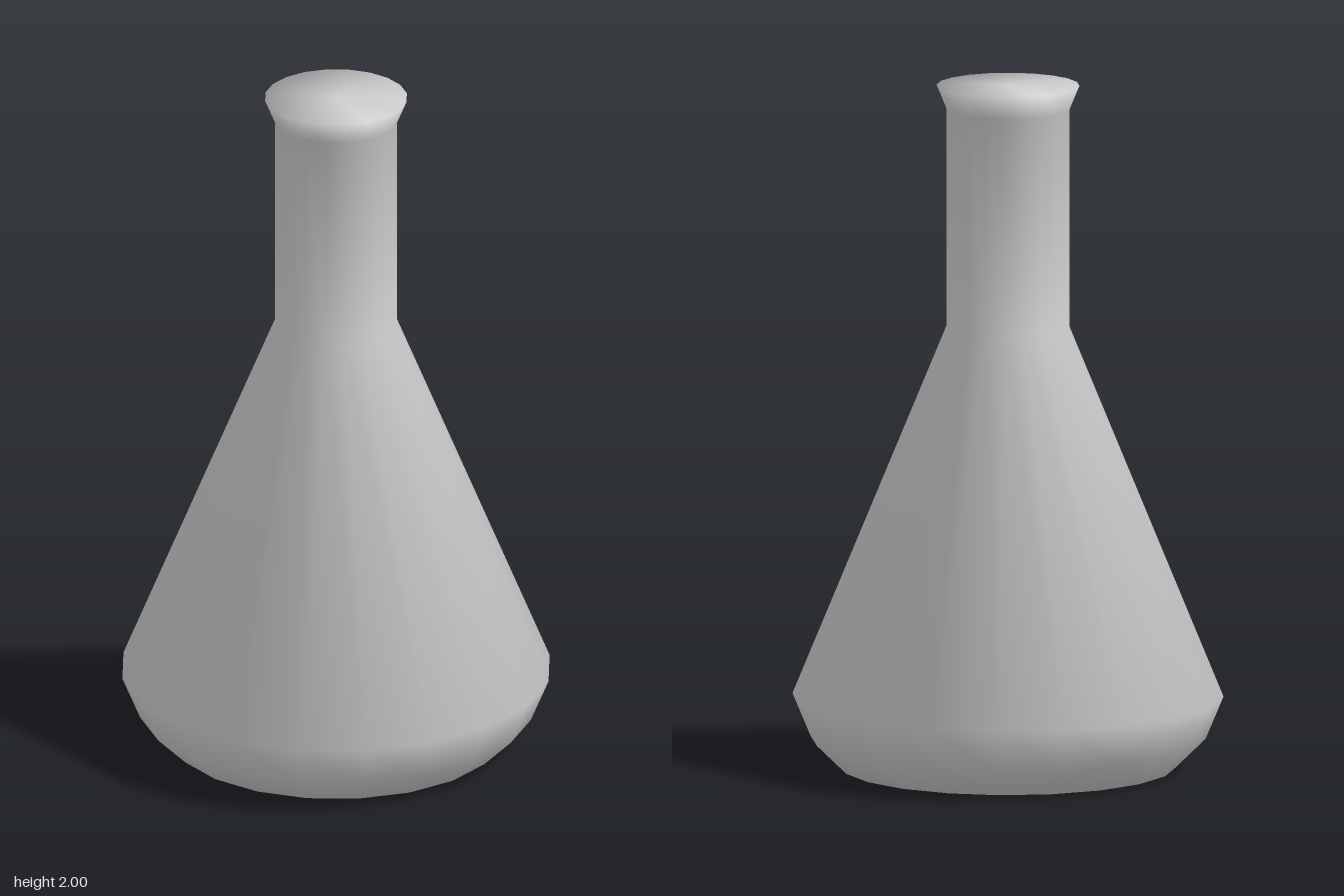
import * as THREE from 'three';

const SIDES = 20;

// Closed outline from the centre of the base to the centre of the mouth
const PROFILE = [
  [0, 0], [0.485, 0], [0.572, 0.085], [0.624, 0.21], // base and rounded foot
  [0.178, 1.293], [0.178, 1.93],                     // cone and neck
  [0.207, 2], [0, 2],                                // flared lip and mouth
].map(([r, y]) => new THREE.Vector2(r, y));

// Smooth outline normals: each corner bisects its two neighbouring segments
function outlineNormals(points) {
  const segments = points.slice(1).map((p, i) => {
    const d = p.clone().sub(points[i]).normalize();
    return new THREE.Vector2(d.y, -d.x);
  });
  return points.map((_, i) => {
    const before = segments[Math.max(i - 1, 0)];
    const after = segments[Math.min(i, segments.length - 1)];
    return before.clone().add(after).normalize();
  });
}

export function createModel() {
  const model = new THREE.Group();
  model.name = 'conicalFlask';

  const geometry = new THREE.LatheGeometry(PROFILE, SIDES);
  const normals = outlineNormals(PROFILE);
  const attribute = geometry.attributes.normal;

  // Sweep the smooth normals around the axis
  for (let i = 0; i <= SIDES; i++) {
    const angle = (i / SIDES) * Math.PI * 2;
    normals.forEach((n, j) => attribute.setXYZ(
      i * normals.length + j, n.x * Math.sin(angle), n.y, n.x * Math.cos(angle)));
  }

  const flask = new THREE.Mesh(geometry, new THREE.MeshStandardMaterial({ color: 0xcccccc }));
  flask.name = 'flaskBody';
  model.add(flask);
  return model;
}
